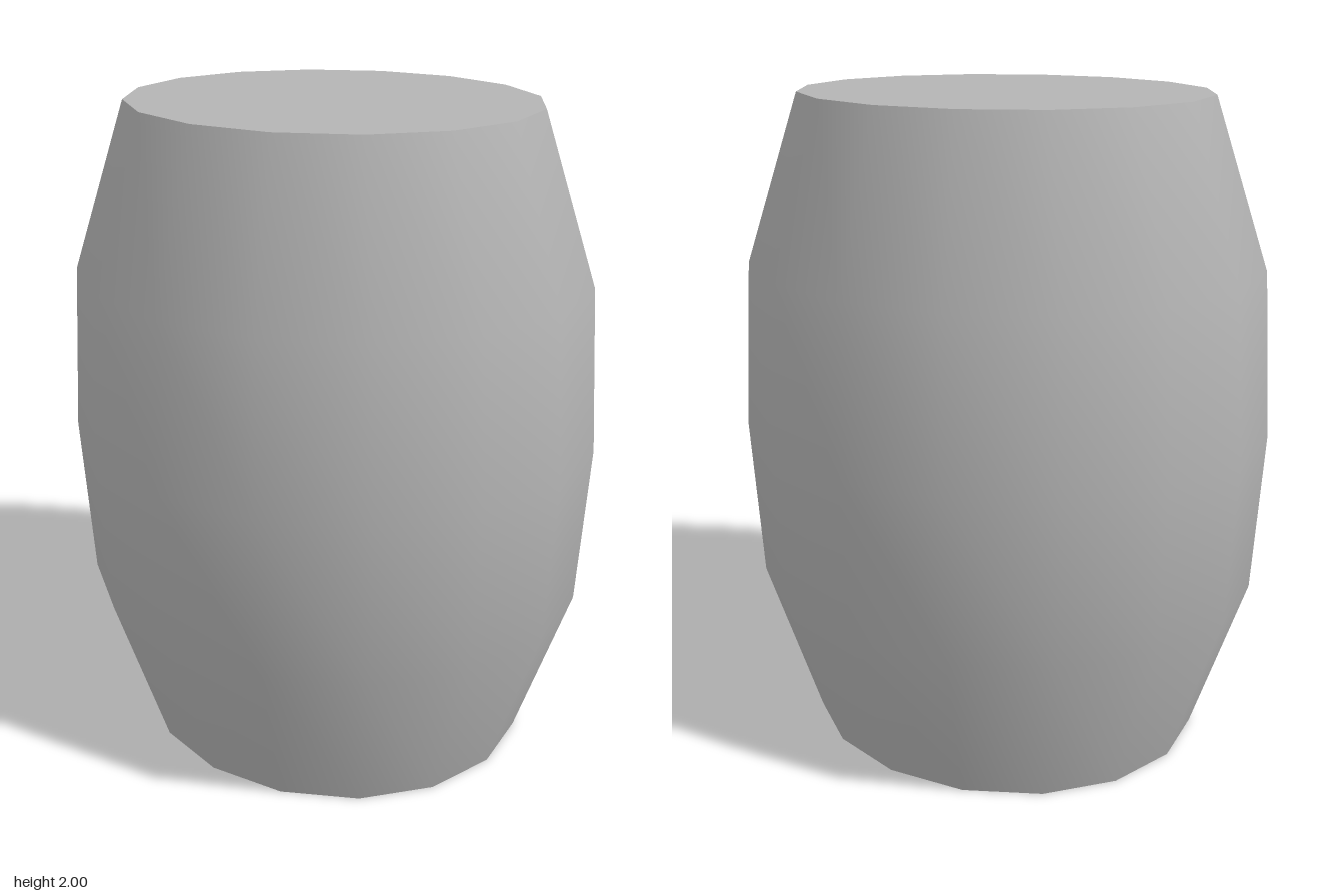
import * as THREE from 'three';

const SIDES = 16;
const DEPTH = 0.833 / 0.767; // the barrel is slightly deeper than wide

export function createModel() {
  const barrel = new THREE.Group();
  barrel.name = 'barrel';

  const grey = new THREE.MeshStandardMaterial({ color: 0xb4b4b4 });
  grey.name = 'plain grey';

  const add = (name, geometry) => {
    geometry.scale(1, 1, DEPTH);
    const mesh = new THREE.Mesh(geometry, grey);
    mesh.name = name;
    barrel.add(mesh);
  };

  // Bulging, smooth-shaded wall from bottom rim to top rim
  const profile = [[0.583, 0], [0.739, 0.5], [0.767, 1], [0.739, 1.5], [0.583, 2]]
    .map(([r, y]) => new THREE.Vector2(r, y));
  add('staveWall', new THREE.LatheGeometry(profile, SIDES));

  // Flat heads closing both ends
  const head = () => new THREE.CircleGeometry(0.583, SIDES);
  add('topHead', head().rotateX(-Math.PI / 2).translate(0, 2, 0));
  add('bottomHead', head().rotateX(Math.PI / 2));

  return barrel;
}
